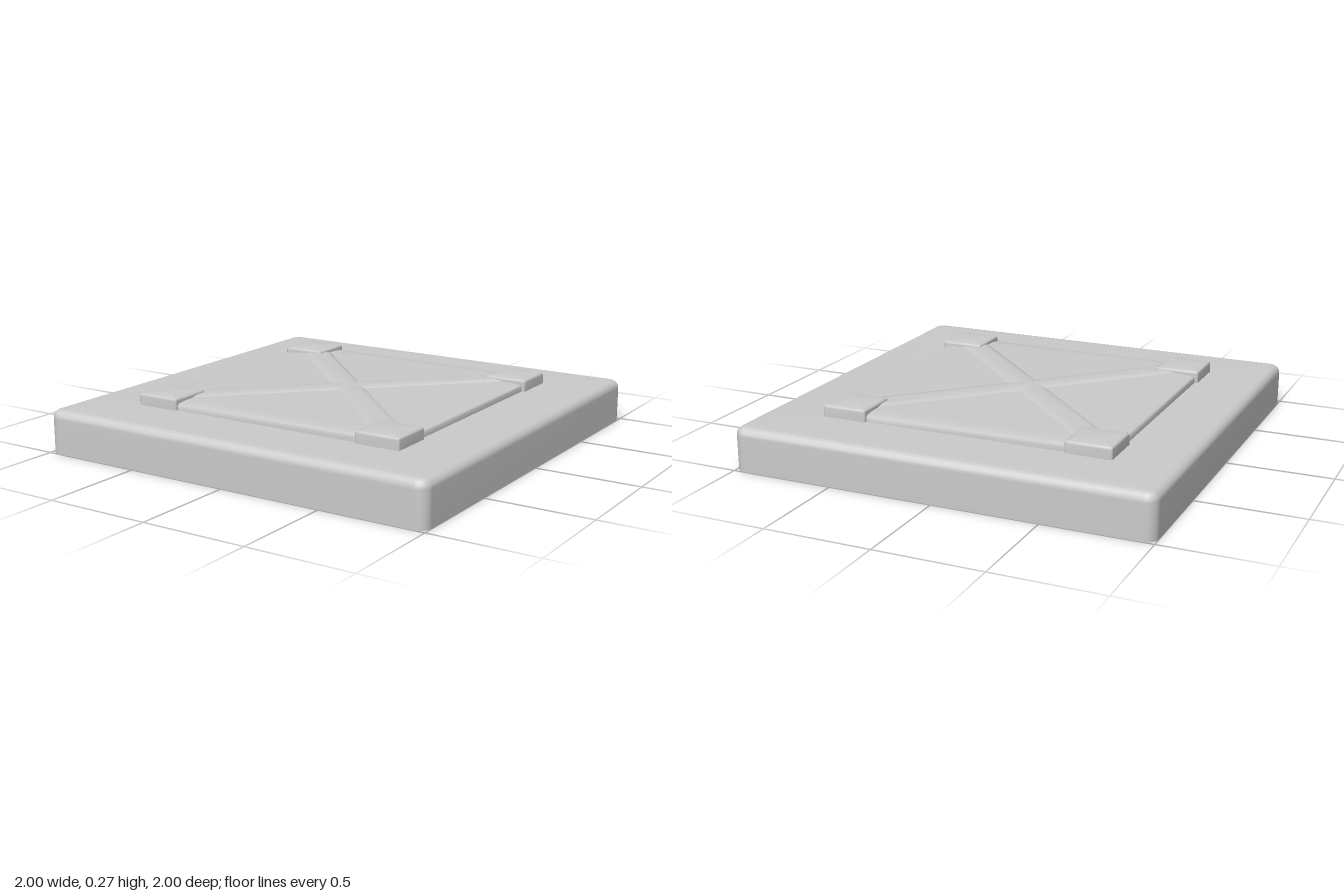
import * as THREE from 'three';

const material = new THREE.MeshStandardMaterial({ color: 0xcccccc });
const STEPS = 5; // segments per rounded corner

// Outline of a rounded rectangle, counter-clockwise seen from above
function outline(hx, hz, r, y) {
  const points = [];
  for (let c = 0; c < 4; c++) {
    const sx = c === 0 || c === 3 ? 1 : -1;
    const sz = c < 2 ? -1 : 1;
    for (let i = 0; i <= STEPS; i++) {
      const a = (c + i / STEPS) * Math.PI / 2;
      points.push([sx * (hx - r) + r * Math.cos(a), y, sz * (hz - r) - r * Math.sin(a)]);
    }
  }
  return points;
}

// Stacked rounded rectangles [inset, y], closed on top and, if asked, below
function slab(name, hx, hz, radius, profile, bottom = false) {
  const n = 4 * (STEPS + 1);
  const positions = [], index = [];
  const ring = ([inset, y]) =>
    positions.push(...outline(hx - inset, hz - inset, Math.max(radius - inset, 0.008), y).flat());
  profile.forEach(ring);
  for (let k = 0; k < profile.length - 1; k++) {
    for (let i = 0; i < n; i++) {
      const a = k * n + i, b = k * n + (i + 1) % n;
      index.push(a, b, b + n, a, b + n, a + n);
    }
  }
  const last = (profile.length - 1) * n;
  const top = positions.length / 3;
  positions.push(0, profile[profile.length - 1][1], 0);
  for (let i = 0; i < n; i++) index.push(top, last + i, last + (i + 1) % n);
  if (bottom) {
    // own vertices keep the lower edge sharp
    const start = positions.length / 3;
    ring(profile[0]);
    positions.push(0, profile[0][1], 0);
    for (let i = 0; i < n; i++) index.push(start + n, start + (i + 1) % n, start + i);
  }
  const geometry = new THREE.BufferGeometry();
  geometry.setAttribute('position', new THREE.Float32BufferAttribute(positions, 3));
  geometry.setIndex(index);
  geometry.computeVertexNormals();
  const mesh = new THREE.Mesh(geometry, material);
  mesh.name = name;
  return mesh;
}

// Quarter-round upper edge above a straight wall
function roundedEdge(y0, y1, r) {
  const profile = [[0, y0]];
  for (let i = 0; i <= 4; i++) {
    const a = i / 4 * Math.PI / 2;
    profile.push([r * (1 - Math.cos(a)), y1 - r + r * Math.sin(a)]);
  }
  return profile;
}

export function createModel() {
  const model = new THREE.Group();
  model.name = 'floorPlate';

  // Thick square base
  model.add(slab('base', 1, 1, 0.055, [...roundedEdge(0, 0.207, 0.04), [0.1, 0.208]], true));

  // Raised central panel with gently sloping borders
  model.add(slab('panel', 0.69, 0.69, 0.02,
    [[0, 0.2], [0, 0.23], [0.01, 0.238], [0.05, 0.243], [0.12, 0.245]]));

  // Diagonal cross braces, barely proud of the panel
  for (const side of [-1, 1]) {
    const brace = slab('crossBrace', 0.8, 0.07, 0.012, [[0, 0.238], [0.004, 0.247], [0.03, 0.253]]);
    brace.rotation.y = side * Math.PI / 4;
    model.add(brace);
  }

  // Corner pads
  for (const x of [-1, 1]) {
    for (const z of [-1, 1]) {
      const pad = slab('cornerPad', 0.11, 0.11, 0.012,
        [[0, 0.2], [0, 0.252], [0.004, 0.26], [0.014, 0.264], [0.07, 0.267]]);
      pad.position.set(x * 0.595, 0, z * 0.595);
      model.add(pad);
    }
  }
  return model;
}
